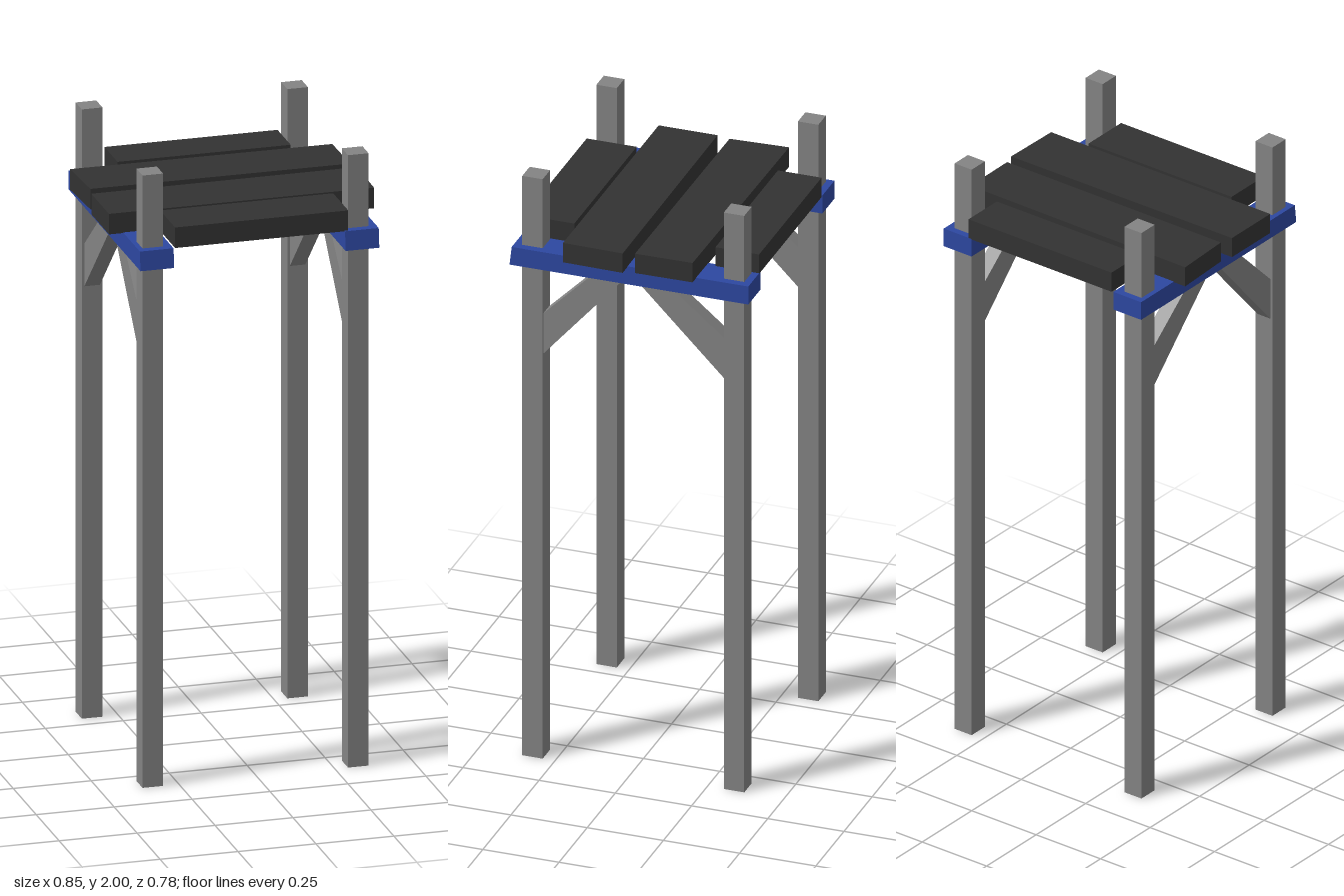
import * as THREE from 'three';

const wood = new THREE.MeshStandardMaterial({ color: 0x838383, flatShading: true });
const blue = new THREE.MeshStandardMaterial({ color: 0x2d47a0, flatShading: true });
const dark = new THREE.MeshStandardMaterial({ color: 0x323232, flatShading: true });

function prism(points, depth) {
  const shape = new THREE.Shape(points.map(([a, b]) => new THREE.Vector2(a, b)));
  return new THREE.ExtrudeGeometry(shape, { depth, bevelEnabled: false });
}

// Outline given as [x, z], raised from y0 to y1
function slab(outline, y0, y1) {
  return prism(outline.map(([x, z]) => [x, -z]), y1 - y0).rotateX(-Math.PI / 2).translate(0, y0, 0);
}

// Outline given as [z, y], given a width centred on x
function sideProfile(outline, x, width) {
  return prism(outline, width).rotateY(-Math.PI / 2).translate(x + width / 2, 0, 0);
}

export function createModel() {
  const group = new THREE.Group();
  const add = (name, geometry, material) => {
    const mesh = new THREE.Mesh(geometry, material);
    mesh.name = name;
    group.add(mesh);
  };

  const braces = {
    frontBrace: [[0.295, 1.39], [0.295, 1.53], [0.12, 1.705], [0.02, 1.705]],
    backBrace: [[-0.305, 1.41], [-0.305, 1.55], [-0.116, 1.705], [-0.01, 1.705]],
  };

  for (const [side, postX, beamX] of [['left', 0.325, 0.329], ['right', -0.334, -0.329]]) {
    // Tall corner posts
    for (const [end, z, height] of [['Front', 0.324, 2], ['Back', -0.337, 1.99]]) {
      const post = new THREE.BoxGeometry(0.066, height, 0.067).translate(postX, height / 2, z);
      add(`${side}${end}Post`, post, wood);
    }

    // Beam with a slightly slanted front end
    const beam = [[-0.393, 1.7], [0.39, 1.7], [0.383, 1.762], [-0.393, 1.762]];
    add(`${side}Beam`, sideProfile(beam, beamX, 0.108), blue);

    // Diagonal braces between posts and beam
    for (const [name, outline] of Object.entries(braces)) {
      add(`${side}${name[0].toUpperCase()}${name.slice(1)}`, sideProfile(outline, postX, 0.05), wood);
    }
  }

  // Uneven floor planks; the outer two fit between the posts
  const planks = {
    backPlank: [[-0.268, -0.393], [0.287, -0.393], [0.287, -0.25], [-0.268, -0.25]],
    middleBackPlank: [[-0.427, -0.228], [0.412, -0.221], [0.414, -0.033], [-0.418, -0.036]],
    middleFrontPlank: [[-0.428, 0.007], [0.426, 0.003], [0.422, 0.2], [-0.428, 0.2]],
    frontPlank: [[-0.268, 0.213], [0.287, 0.213], [0.287, 0.377], [-0.268, 0.377]],
  };
  for (const [name, outline] of Object.entries(planks)) add(name, slab(outline, 1.76, 1.827), dark);

  return group;
}
